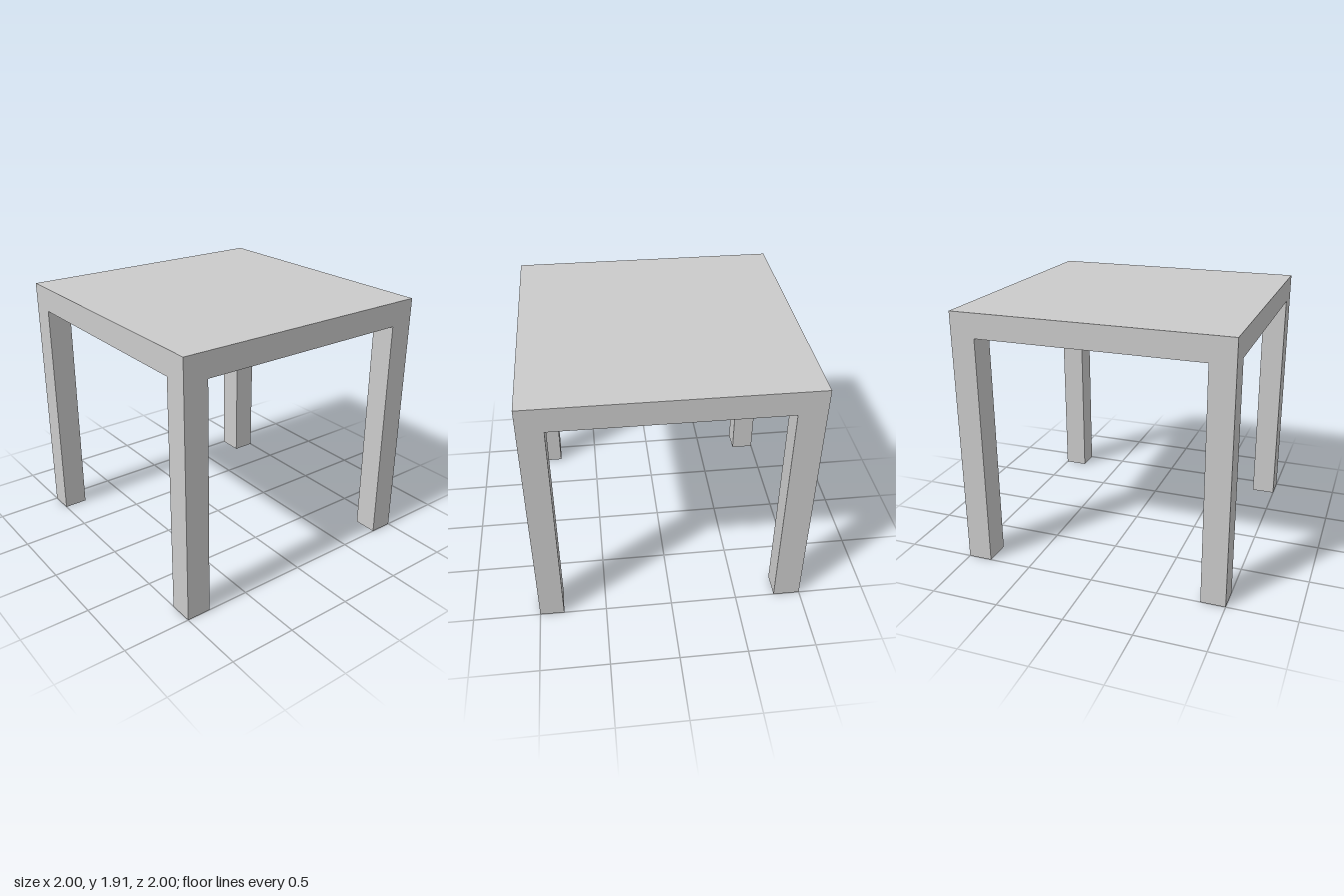
import * as THREE from 'three';

const HEIGHT = 1.915, TOP = 0.18, LEG = 0.18, HALF = 1;

export function createModel() {
  const table = new THREE.Group();
  table.name = 'table';
  const material = new THREE.MeshStandardMaterial({ color: 0xcccccc, flatShading: true });

  const addBox = (name, w, h, d, x, y, z) => {
    const mesh = new THREE.Mesh(new THREE.BoxGeometry(w, h, d), material);
    mesh.name = name;
    mesh.position.set(x, y, z);
    table.add(mesh);
  };

  // Thick square top
  addBox('tableTop', 2 * HALF, TOP, 2 * HALF, 0, HEIGHT - TOP / 2, 0);

  // Four legs flush with the corners; the back right one is slightly wider
  const legHeight = HEIGHT - TOP;
  for (const sx of [-1, 1]) {
    for (const sz of [-1, 1]) {
      const width = sx < 0 && sz < 0 ? 0.2 : LEG;
      const name = (sz > 0 ? 'front' : 'back') + (sx > 0 ? 'Left' : 'Right') + 'Leg';
      addBox(name, width, legHeight, LEG,
        sx * (HALF - width / 2), legHeight / 2, sz * (HALF - LEG / 2));
    }
  }
  return table;
}
